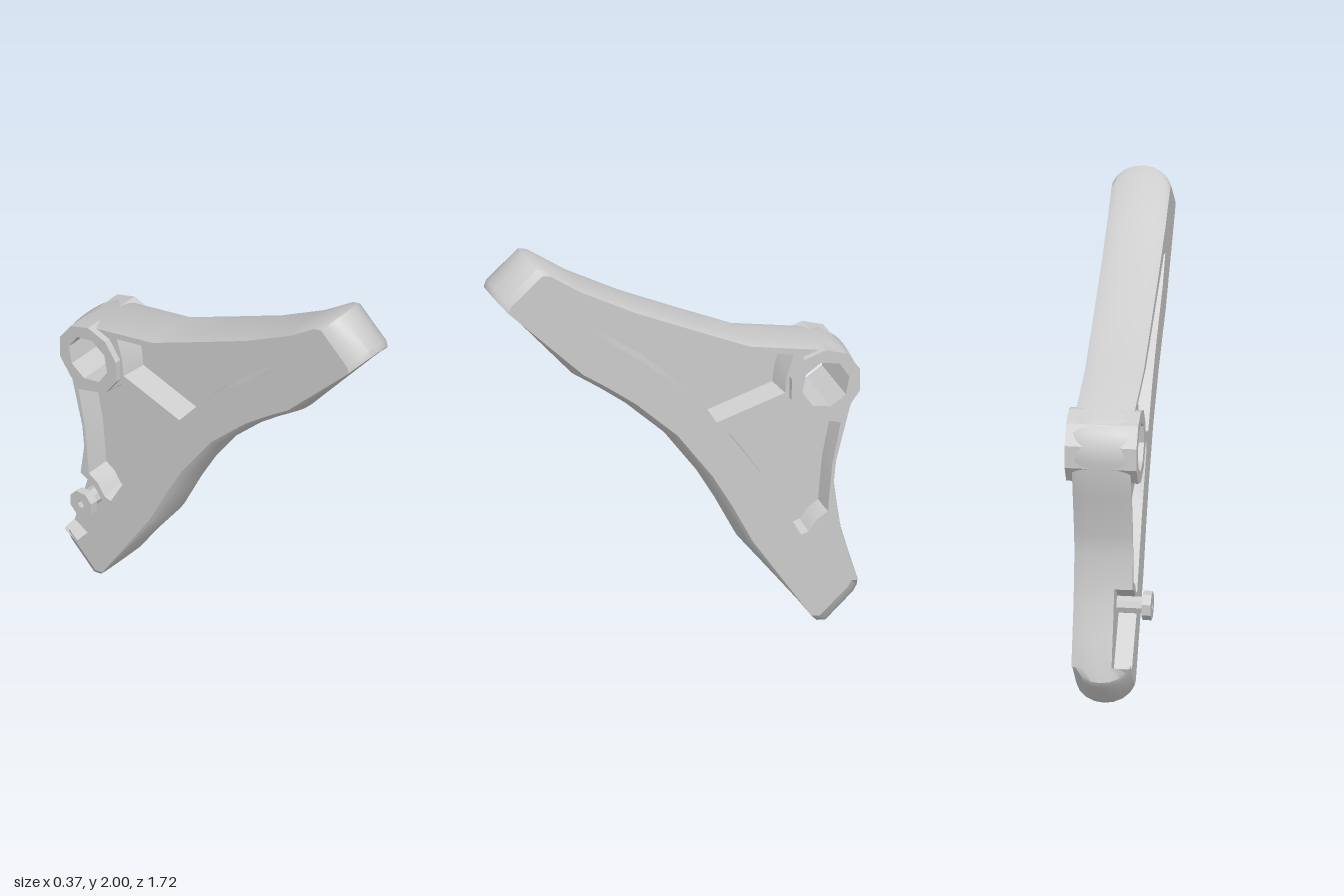
import * as THREE from 'three';
import { toCreasedNormals } from 'three/addons/utils/BufferGeometryUtils.js';

// Everything is drawn in a side plane (p = -z, q = y) with depth w = x, then turned upright.
const MID = 0.02, HALF = 0.13, NOTCH_W = -0.03, MAX_PHI = 1.3;
const HUB = [0.67, 1.21];

// Outline, counter-clockwise: p, q, edge rounding, kind (T/B = top/bottom tip, N = notch)
const outline = [
  [-0.66, 1.99, 0.12, 'T'], [-0.70, 2.0, 0.12, 'T'], [-0.85, 1.87, 0.12, 'T'], [-0.86, 1.84, 0.12, 'T'],
  [-0.48, 1.395, 0.05], [-0.36, 1.31, 0.05], [-0.23, 1.21, 0.05], [-0.04, 1.03, 0.05],
  [0.12, 0.81, 0.05], [0.21, 0.655, 0.05], [0.31, 0.46, 0.05],
  [0.67, 0.01, 0.12, 'B'], [0.71, 0.005, 0.12, 'B'], [0.84, 0.125, 0.12, 'B'], [0.857, 0.155, 0.12, 'B'],
  [0.843, 0.22, 0.02], [0.843, 0.22, 0.02, 'N'], [0.80, 0.36, 0.02, 'N'], [0.765, 0.48, 0.02, 'N'],
  [0.752, 0.56, 0.02, 'N'], [0.752, 0.56, 0.02],
  [0.732, 0.71, 0.02], [0.742, 0.81, 0.02], [0.79, 1.0, 0.02], [0.84, 1.19, 0.02],
  [0.835, 1.26, 0.02], [0.805, 1.32, 0.02], [0.735, 1.367, 0.02],
  [0.33, 1.45, 0.02], [0.07, 1.57, 0.02], [-0.20, 1.70, 0.025], [-0.455, 1.845, 0.03],
];
// Pockets, clockwise
const pockets = [
  [[-0.44, 1.69], [-0.40, 1.71], [0.0, 1.535], [0.26, 1.42], [0.53, 1.365], [0.50, 1.27], [0.49, 1.185],
    [0.17, 1.09], [0.02, 1.265], [-0.15, 1.42], [-0.34, 1.565]],
  [[0.225, 1.06], [0.505, 1.135], [0.60, 1.045], [0.75, 1.0], [0.71, 0.80], [0.69, 0.575],
    [0.64, 0.545], [0.60, 0.49], [0.565, 0.48], [0.525, 0.55], [0.39, 0.79], [0.23, 1.02]],
];
// Inner edge of the notch on the right-hand face, from its bottom to its top
const notchEdge = [[0.76, 0.18], [0.54, 0.44], [0.61, 0.46], [0.66, 0.52]];

const vec = ([p, q]) => new THREE.Vector2(p, q);
const shapeOf = (pts) => new THREE.Shape(pts.map(vec));

function circle([p, q], r, sides, turn = 0) {
  return Array.from({ length: sides }, (_, i) => {
    const a = turn + (i / sides) * Math.PI * 2;
    return [p + r * Math.cos(a), q + r * Math.sin(a)];
  });
}

// Direction in which an outline point pulls outward
function outward(i) {
  const n = outline.length, kind = outline[i][3];
  if (kind === 'T') return [-0.65, 0.76];
  if (kind === 'B') return [0.65, -0.76];
  const [p, q] = outline[i];
  let a = i, b = i;
  const same = (j) => outline[j][0] === p && outline[j][1] === q;
  while (same(a)) a = (a + n - 1) % n;
  while (same(b)) b = (b + 1) % n;
  const d = vec(outline[b]).sub(vec(outline[a])).normalize();
  return [d.y, -d.x];
}

// Outline ring at one angle of the rounded edge
function ring(phi) {
  const w = MID + HALF * Math.sin(phi) / Math.sin(MAX_PHI);
  return outline.map(([p, q, round, kind], i) => {
    const [op, oq] = outward(i), inset = round * (1 - Math.cos(phi));
    return [p - op * inset, q - oq * inset, kind === 'N' ? Math.max(w, NOTCH_W) : w];
  });
}

// Skin between successive rings of points
function loft(rings, closed = true) {
  const n = rings[0].length, index = [];
  for (let k = 0; k + 1 < rings.length; k++) {
    for (let i = 0; i < (closed ? n : n - 1); i++) {
      const j = (i + 1) % n, a = k * n + i, b = k * n + j;
      index.push(a, b, b + n, a, b + n, a + n);
    }
  }
  const g = new THREE.BufferGeometry();
  g.setAttribute('position', new THREE.Float32BufferAttribute(rings.flat(2), 3));
  g.setIndex(index);
  return toCreasedNormals(g, 0.6);
}

// Flat face at depth w, facing +w or -w
function flat(pts, w, holes, positive) {
  const s = shapeOf(pts);
  s.holes = holes.map((h) => new THREE.Path(h.map(vec)));
  const g = new THREE.ShapeGeometry(s);
  if (!positive) g.index.array.reverse();
  g.translate(0, 0, w);
  g.computeVertexNormals();
  return g;
}

// Flat-sided prism between two depths, with an optional hole
function prism(pts, w0, w1, hole) {
  const s = shapeOf(pts);
  if (hole) s.holes.push(new THREE.Path(hole.map(vec)));
  return new THREE.ExtrudeGeometry(s, { depth: w1 - w0, bevelEnabled: false }).translate(0, 0, w0);
}

export function createModel() {
  const model = new THREE.Group();
  const side = new THREE.Group();
  side.name = 'bracket';
  side.rotation.y = Math.PI / 2;
  model.add(side);
  const material = new THREE.MeshStandardMaterial({ color: 0xcccccc, side: THREE.DoubleSide });
  const add = (name, geometry) => {
    const m = new THREE.Mesh(geometry, material);
    m.name = name;
    side.add(m);
  };

  // Rounded outer wall
  const rings = Array.from({ length: 9 }, (_, k) => ring(MAX_PHI * (k / 4 - 1)));
  add('outerWall', loft(rings));

  // Side faces, open at the pockets and the hub
  const openings = [...pockets, circle(HUB, 0.14, 10)];
  const low = rings[0], high = rings[8];
  const isNotch = (i) => outline[i][3] === 'N';
  const first = outline.findIndex((o) => o[3] === 'N');
  const notchRim = low.filter((_, i) => isNotch(i));
  const cutFace = low.filter((_, i) => !isNotch(i));
  cutFace.splice(first, 0, ...notchEdge);
  add('leftFace', flat(high, MID + HALF, openings, true));
  add('rightFace', flat(cutFace, MID - HALF, openings, false));

  // Pockets on both sides, with slightly drafted walls
  for (const pocket of pockets) {
    const c = pocket.reduce((s, p) => [s[0] + p[0] / pocket.length, s[1] + p[1] / pocket.length], [0, 0]);
    const floor = pocket.map(([p, q]) => [p + (c[0] - p) * 0.05, q + (c[1] - q) * 0.05]);
    const at = (pts, w) => pts.map(([p, q]) => [p, q, w]);
    add('leftPocketWall', loft([at(floor, 0.04), at(pocket, MID + HALF)]));
    add('leftPocketFloor', flat(floor, 0.04, [], true));
    add('rightPocketWall', loft([at(pocket, MID - HALF), at(floor, 0)]));
    add('rightPocketFloor', flat(floor, 0, [], false));
  }

  // Notch open to the back edge
  const edge = [notchRim[0], ...notchEdge, notchRim[notchRim.length - 1]];
  add('notchWall', loft([MID - HALF, NOTCH_W].map((w) => edge.map(([p, q]) => [p, q, w])), false));
  add('notchFloor', flat([...notchRim, ...notchEdge.slice().reverse()], NOTCH_W, [], false));

  // Hub ring with a faceted through hole
  add('hub', prism(circle(HUB, 0.168, 10, 0.31), -0.14, 0.18, circle(HUB, 0.112, 8, 0.2)));

  // Headed pin standing in the notch
  const pin = [0.67, 0.46];
  add('pinStem', prism(circle(pin, 0.04, 8), NOTCH_W - 0.005, -0.15));
  add('pinHead', prism(circle(pin, 0.065, 8, Math.PI / 8), -0.19, -0.15, circle(pin, 0.018, 6)));
  add('pinSocket', prism(circle(pin, 0.02, 6), -0.165, -0.15));

  return model;
}
